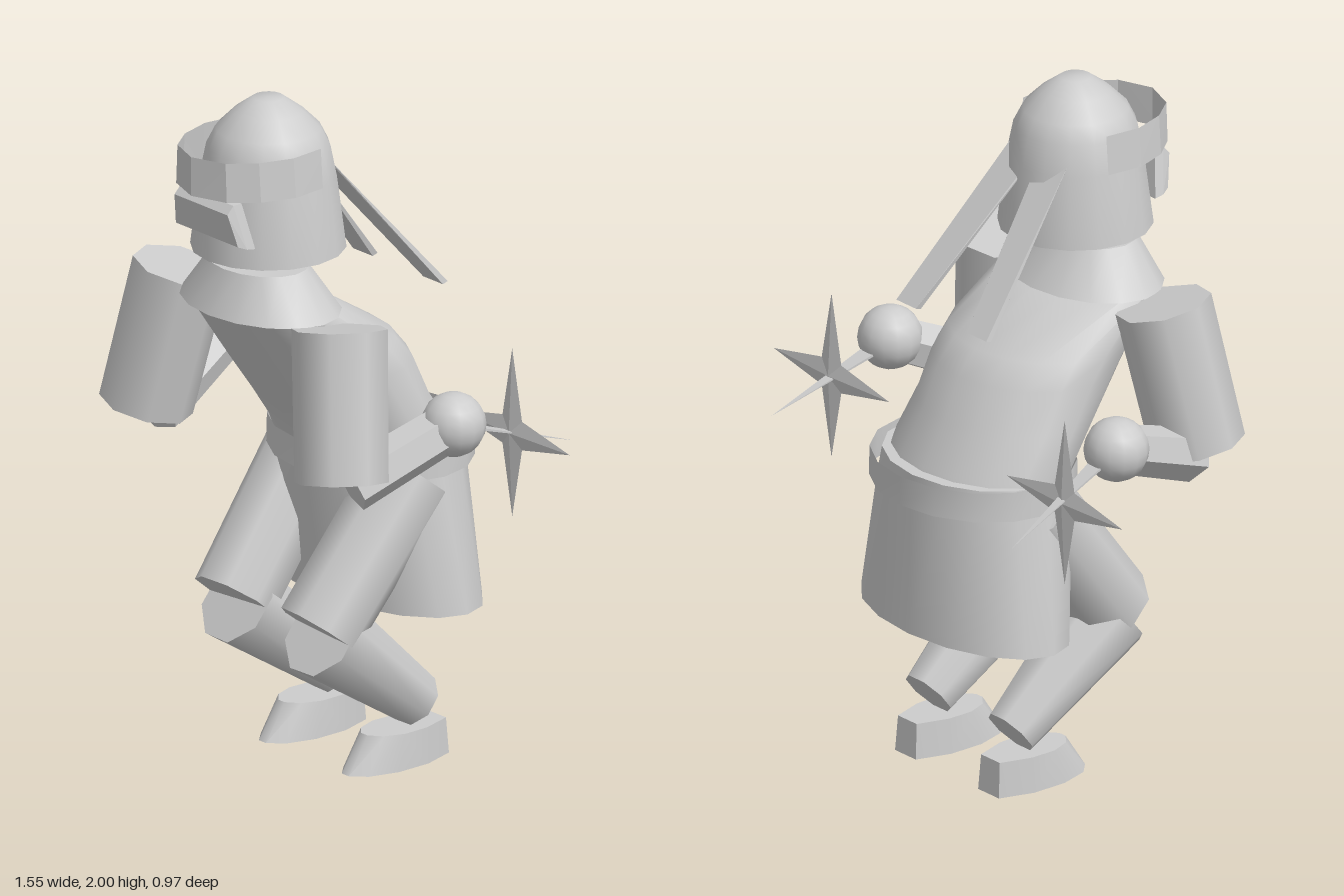
import * as THREE from 'three';
import { toCreasedNormals } from 'three/addons/utils/BufferGeometryUtils.js';
import { ConvexGeometry } from 'three/addons/geometries/ConvexGeometry.js';

const V = (x, y, z) => new THREE.Vector3(x, y, z);

// Horizontal ellipse loop: height, centre z, x radius, z radius
const ring = (y, cz, rx, rz, n = 16) => Array.from({ length: n }, (_, i) => {
  const a = (i / n) * Math.PI * 2;
  return V(rx * Math.cos(a), y, cz + rz * Math.sin(a));
});

// Skin over loops ordered from bottom to top; optional end caps
function loft(loops, { closed = true, caps = true, crease = 0.8 } = {}) {
  const n = loops[0].length, pos = [];
  const tri = (...p) => p.forEach((v) => pos.push(v.x, v.y, v.z));
  const count = closed ? n : n - 1;
  for (let k = 0; k < loops.length - 1; k++) {
    for (let i = 0; i < count; i++) {
      const j = (i + 1) % n, lo = loops[k], hi = loops[k + 1];
      tri(lo[i], hi[i], lo[j]);
      tri(lo[j], hi[i], hi[j]);
    }
  }
  if (caps) {
    const lo = loops[0], hi = loops[loops.length - 1];
    for (let i = 1; i < n - 1; i++) {
      tri(lo[0], lo[i], lo[i + 1]);
      tri(hi[0], hi[i + 1], hi[i]);
    }
  }
  const g = new THREE.BufferGeometry();
  g.setAttribute('position', new THREE.Float32BufferAttribute(pos, 3));
  return toCreasedNormals(g, crease);
}

// Tapered cylinder between two points
function limb(a, b, ra, rb, sides, flat = false) {
  let g = new THREE.CylinderGeometry(rb, ra, a.distanceTo(b), sides);
  g.rotateY(Math.PI / sides);
  const dir = b.clone().sub(a).normalize();
  g.applyQuaternion(new THREE.Quaternion().setFromUnitVectors(V(0, 1, 0), dir));
  const mid = a.clone().add(b).multiplyScalar(0.5);
  g.translate(mid.x, mid.y, mid.z);
  if (flat) {
    g = g.toNonIndexed();
    g.computeVertexNormals();
  }
  return g;
}

// Four-pointed throwing star with a raised centre
function starGeometry() {
  const pos = [];
  const rim = (i) => {
    const a = (i / 8) * Math.PI * 2, r = i % 2 ? 0.06 : 0.25;
    return [r * Math.cos(a), r * Math.sin(a), 0];
  };
  for (let i = 0; i < 8; i++) {
    pos.push(0, 0, 0.013, ...rim(i), ...rim(i + 1));
    pos.push(0, 0, -0.013, ...rim(i + 1), ...rim(i));
  }
  const g = new THREE.BufferGeometry();
  g.setAttribute('position', new THREE.Float32BufferAttribute(pos, 3));
  g.computeVertexNormals();
  return g;
}

export function createModel() {
  const model = new THREE.Group();
  const grey = new THREE.MeshStandardMaterial({ color: 0xcccccc, side: THREE.DoubleSide });
  grey.name = 'light grey';
  const add = (name, geometry) => {
    const mesh = new THREE.Mesh(geometry, grey);
    mesh.name = name;
    model.add(mesh);
    return mesh;
  };

  // Hooded head
  const hood = [[0, 1.56], [0.22, 1.56], [0.193, 1.77], [0.175, 1.86], [0.15, 1.91],
    [0.1, 1.96], [0.045, 2], [0, 2]].map(([r, y]) => new THREE.Vector2(r, y));
  add('head', toCreasedNormals(new THREE.LatheGeometry(hood, 16), 0.8)).position.z = 0.2;

  // Forehead guard: an open bent strip
  const half = [[0.19, 0.16], [0.203, 0.27], [0.17, 0.37], [0.11, 0.445]];
  const path = [...half, [0, 0.483], ...half.map(([x, z]) => [-x, z]).reverse()];
  const strip = (y, s) => path.map(([x, z]) => V(x * s, y, z));
  add('foreheadGuard', loft([strip(1.77, 1), strip(1.885, 0.95)],
    { closed: false, caps: false, crease: 0.3 }));

  // Bevelled eye plate
  const plate = [];
  for (const s of [-1, 1]) {
    plate.push(V(s * 0.145, 1.625, 0.37), V(s * 0.115, 1.758, 0.395),
      V(s * 0.145, 1.63, 0.4), V(s * 0.115, 1.758, 0.425),
      V(s * 0.135, 1.64, 0.425), V(s * 0.115, 1.735, 0.447));
  }
  add('eyePlate', new ConvexGeometry(plate));

  // Collar and forward-leaning torso
  add('collar', loft([ring(1.4, 0.228, 0.272, 0.192), ring(1.525, 0.24, 0.167, 0.125)]));
  const torso = [[0.9, 0.06, -0.38, 0.3], [0.96, 0.085, -0.36, 0.3], [1.08, 0.17, -0.28, 0.292],
    [1.2, 0.26, -0.23, 0.288], [1.27, 0.31, -0.17, 0.284], [1.4, 0.4, 0.04, 0.265]];
  add('torso', loft(torso.map(([y, f, b, rx]) => ring(y, (f + b) / 2, rx, (f - b) / 2))));

  // Belt and skirt
  add('belt', loft([ring(0.87, -0.175, 0.322, 0.27), ring(0.957, -0.175, 0.318, 0.27)],
    { caps: false }));
  add('skirt', loft([ring(0.47, -0.205, 0.385, 0.21), ring(0.87, -0.17, 0.32, 0.235),
    ring(0.95, -0.165, 0.3, 0.235)]));

  for (const s of [-1, 1]) {
    const side = s > 0 ? 'left' : 'right';

    // Headband tail
    const tail = [];
    for (const d of [0, 0.018]) {
      tail.push(V(s * 0.12, 1.825 - d, 0.085 - d * 0.6), V(s * 0.005, 1.825 - d, 0.085 - d * 0.6),
        V(s * 0.195, 1.385 + d * 0.3, -0.275 - d), V(s * 0.11, 1.385 + d * 0.3, -0.275 - d));
    }
    add(side + 'HeadbandTail', new ConvexGeometry(tail));

    // Bent leg
    add(side + 'Thigh', limb(V(s * 0.21, 0.856, -0.145), V(s * 0.183, 0.455, 0.17), 0.128, 0.125, 8));
    add(side + 'Shin', limb(V(s * 0.183, 0.44, 0.16), V(s * 0.178, 0.165, -0.19), 0.13, 0.08, 8));

    // Foot: rounded toe, flat heel, sloping instep
    const foot = [];
    for (const [w, z, top] of [[0.045, -0.272, -0.265], [0.078, -0.17, -0.17],
      [0.08, -0.06, -0.09], [0.055, 0.03, -0.03], [0.015, 0.07, 0]]) {
      for (const d of [-1, 1]) {
        foot.push(V(s * 0.18 + d * w, 0, z), V(s * 0.18 + d * w * 0.9, 0.105, top));
      }
    }
    add(side + 'Foot', toCreasedNormals(new ConvexGeometry(foot), 0.7));

    // Arm and fist
    const hz = s > 0 ? -0.05 : -0.08;
    const hand = V(s * 0.508, 1.107, hz);
    add(side + 'UpperArm', limb(V(s * 0.345, 1.41, 0.23), V(s * 0.425, 0.99, 0.29), 0.138, 0.135, 8));
    add(side + 'Forearm', limb(V(s * 0.425, 0.97, 0.255), hand, 0.078, 0.07, 6, true));
    add(side + 'Hand', new THREE.SphereGeometry(0.093, 14, 10)).position.copy(hand);

    // Throwing star with a spike running back from the fist
    const c = s > 0 ? V(0.524, 1.04, -0.252) : V(-0.523, 1.005, -0.283);
    const tip = s > 0 ? V(0.535, 0.97, -0.465) : V(-0.535, 0.925, -0.488);
    add(side + 'Star', starGeometry()).position.copy(c);
    const spike = [tip];
    for (const dx of [-0.028, 0.028]) {
      for (const dy of [-0.004, 0.004]) spike.push(V(hand.x + dx, hand.y - 0.02 + dy, hz - 0.06));
    }
    add(side + 'StarSpike', new ConvexGeometry(spike));
  }
  return model;
}
